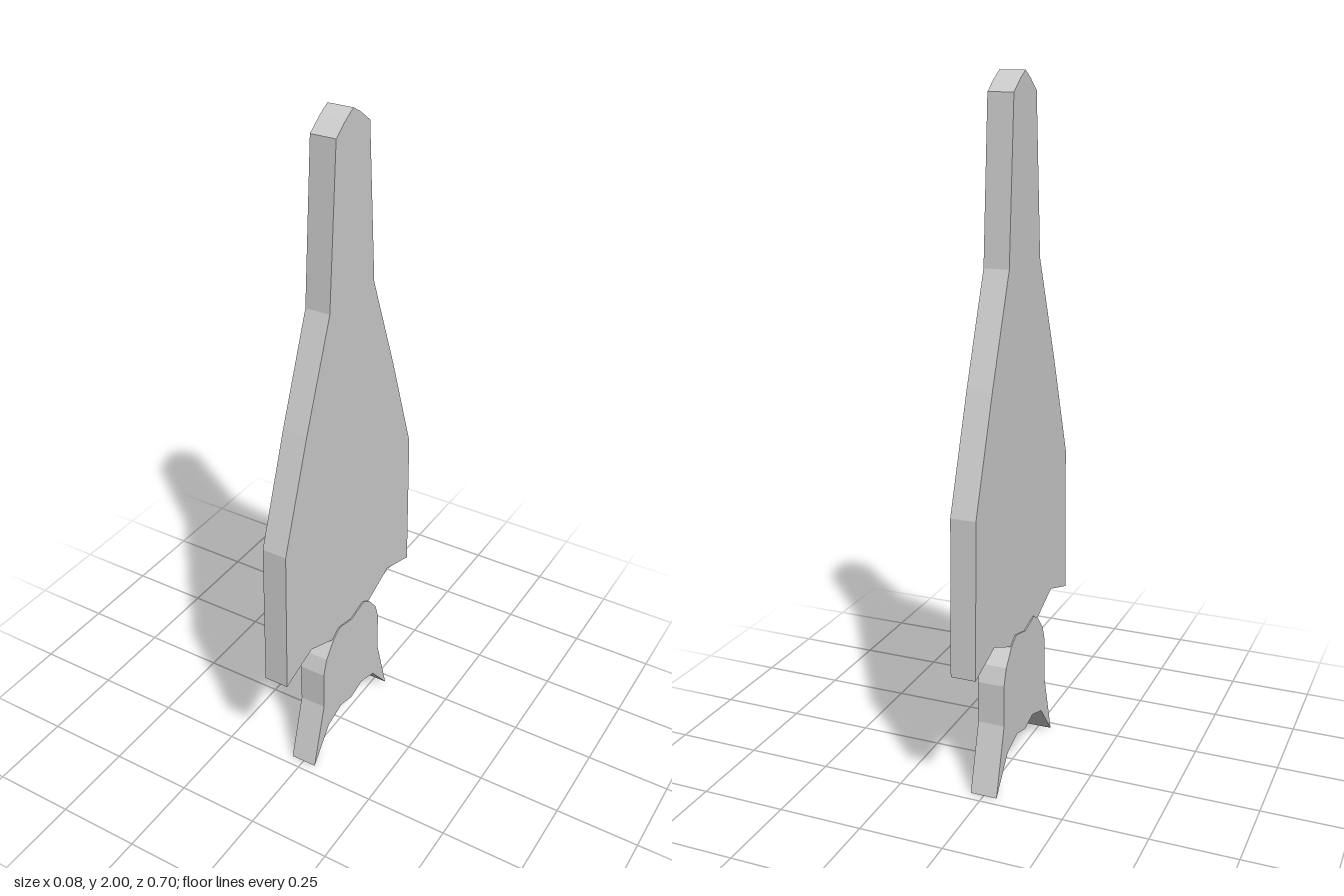
import * as THREE from 'three';

const material = new THREE.MeshStandardMaterial({ color: 0xcccccc, flatShading: true });

// Flat plate in the YZ plane from a half outline [z, y], top centre to bottom centre, mirrored in z
function plate(name, half, thickness) {
  const mirrored = half.slice(1, -1).reverse().map(([z, y]) => [-z, y]);
  const outline = [...half, ...mirrored].map(([z, y]) => new THREE.Vector2(z, y));
  const geometry = new THREE.ExtrudeGeometry(new THREE.Shape(outline), {
    depth: thickness,
    bevelEnabled: false,
  });
  geometry.translate(0, 0, -thickness / 2);
  geometry.rotateY(Math.PI / 2);
  const mesh = new THREE.Mesh(geometry, material);
  mesh.name = name;
  return mesh;
}

export function createModel() {
  const group = new THREE.Group();
  group.name = 'finnedPlate';

  // Long tapering blade with swept lower corners
  group.add(plate('blade', [
    [0, 2], [0.035, 1.98], [0.08, 1.947], [0.112, 1.5], [0.228, 1.2], [0.341, 0.88],
    [0.352, 0.43], [0.222, 0.472], [0.105, 0.422], [0, 0.4],
  ], 0.073));

  // Slightly thicker forked tail
  group.add(plate('tail', [
    [0, 0.428], [0.07, 0.445], [0.105, 0.424], [0.145, 0.375], [0.162, 0.325],
    [0.162, 0.2], [0.22, 0], [0.135, 0.103], [0.062, 0.126], [0, 0.109],
  ], 0.08));

  return group;
}
